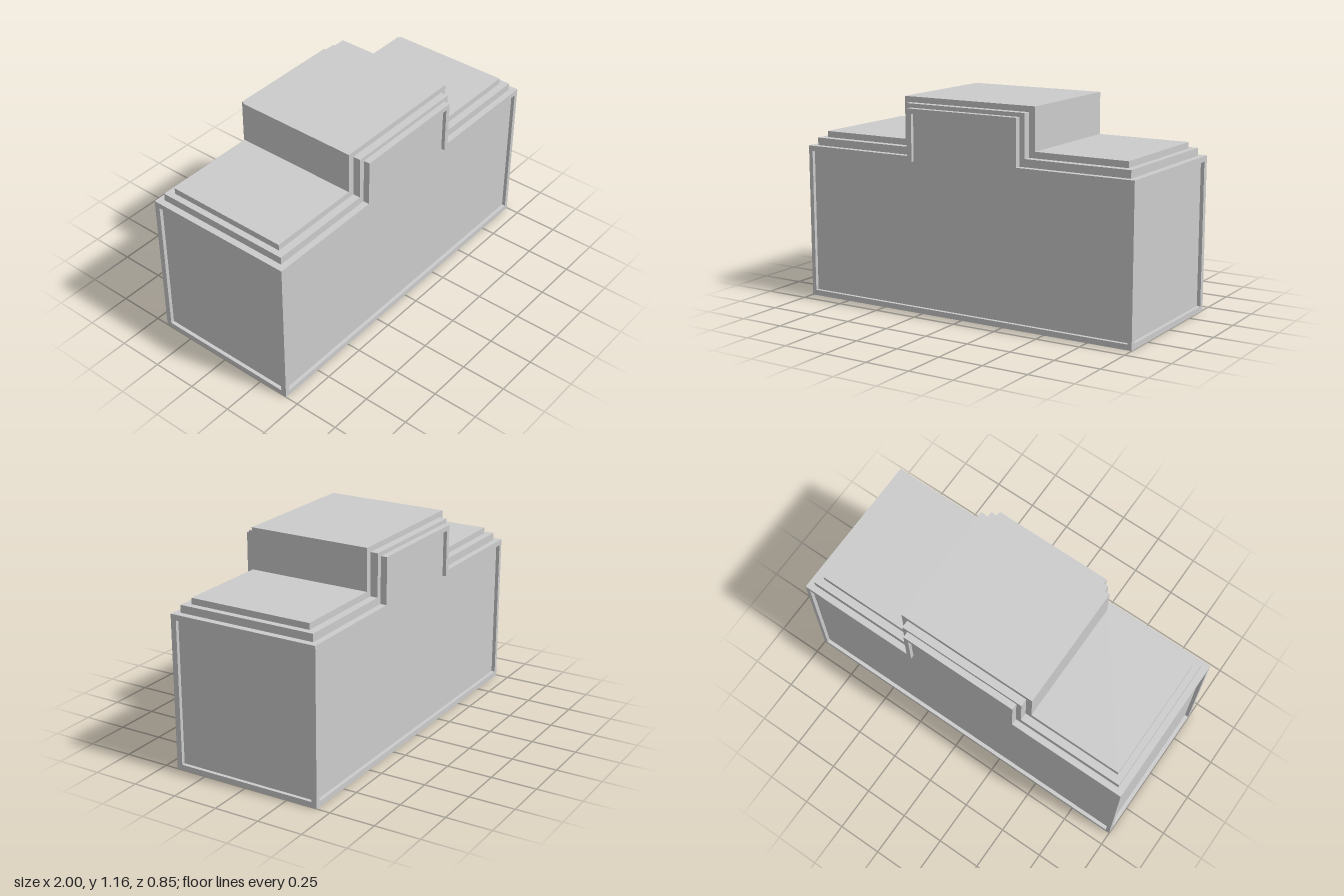
import * as THREE from 'three';

const material = new THREE.MeshStandardMaterial({ color: 0xcccccc, flatShading: true });
const INSET = 0.02; // depth of the recessed panels

// Stepped silhouette: wide base with a raised middle section
function steppedPoints(halfW, bottom, shoulder, midHalfW, top) {
  return [
    [-halfW, bottom], [halfW, bottom], [halfW, shoulder], [midHalfW, shoulder],
    [midHalfW, top], [-midHalfW, top], [-midHalfW, shoulder], [-halfW, shoulder],
  ].map(([x, y]) => new THREE.Vector2(x, y));
}

function rectPoints(halfW, bottom, top) {
  return [[-halfW, bottom], [halfW, bottom], [halfW, top], [-halfW, top]]
    .map(([x, y]) => new THREE.Vector2(x, y));
}

// Extrusion centred on z = 0, with an optional opening
function slab(name, outline, depth, opening) {
  const shape = new THREE.Shape(outline);
  if (opening) shape.holes.push(new THREE.Path(opening));
  const geometry = new THREE.ExtrudeGeometry(shape, { depth, bevelEnabled: false });
  geometry.translate(0, 0, -depth / 2);
  const mesh = new THREE.Mesh(geometry, material);
  mesh.name = name;
  return mesh;
}

export function createModel() {
  const group = new THREE.Group();
  group.name = 'steppedBlock';

  // Main body, whose faces form the recessed panels
  const halfDepth = 0.425;
  const coreHalfDepth = halfDepth - INSET;
  group.add(slab('body', steppedPoints(1 - INSET, 0, 0.85, 0.335, 1.103), 2 * coreHalfDepth));

  // Raised borders around the panels on all four sides
  for (const side of [1, -1]) {
    const face = slab(side > 0 ? 'frontFrame' : 'backFrame',
      steppedPoints(1, 0, 0.85, 0.335, 1.103), INSET,
      steppedPoints(0.976, 0.03, 0.82, 0.308, 1.075));
    face.position.z = side * (halfDepth - INSET / 2);
    group.add(face);

    const end = slab(side > 0 ? 'leftFrame' : 'rightFrame',
      rectPoints(coreHalfDepth, 0, 0.85), INSET, rectPoints(0.394, 0.03, 0.82));
    end.rotation.y = Math.PI / 2;
    end.position.x = side * (1 - INSET / 2);
    group.add(end);
  }

  // Two stepped tiers, each narrower and taller than the one below
  group.add(slab('middleTier', steppedPoints(0.963, 0.8, 0.892, 0.365, 1.125), 0.78));
  group.add(slab('topTier', steppedPoints(0.928, 0.8, 0.926, 0.4, 1.156), 0.695));

  return group;
}
